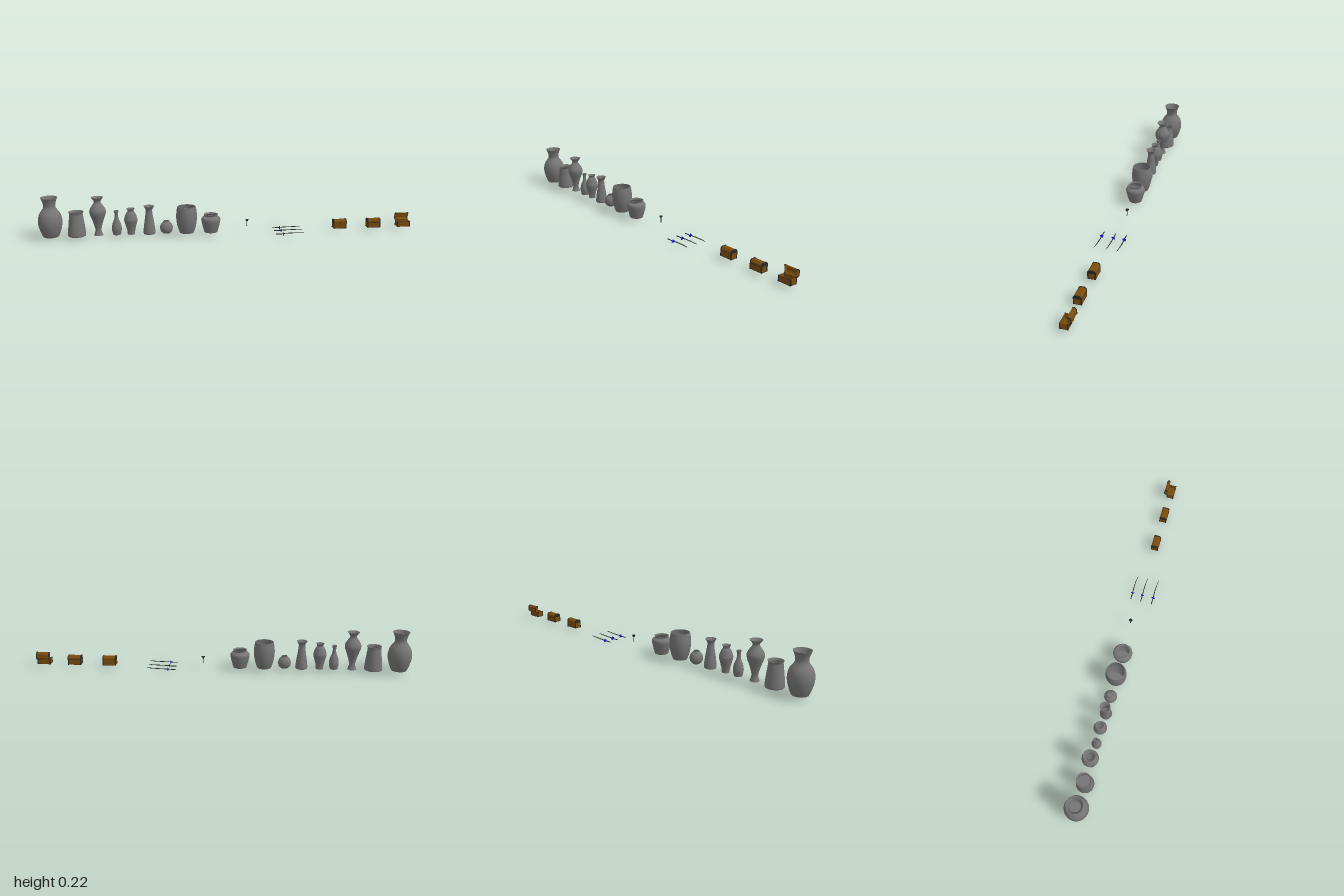
import * as THREE from 'three';

const mat = (color, side = THREE.FrontSide) => new THREE.MeshStandardMaterial({ color, side });
const clay = mat(0x757575, THREE.DoubleSide);
const wood = mat(0x7a4c0c);
const iron = mat(0x2a2a2a, THREE.DoubleSide);
const blue = mat(0x1010ff);

function add(parent, name, geometry, material, x = 0, y = 0, z = 0) {
  const mesh = new THREE.Mesh(geometry, material);
  mesh.name = name;
  mesh.position.set(x, y, z);
  parent.add(mesh);
  return mesh;
}
const box = (parent, name, m, w, h, d, x, y, z) =>
  add(parent, name, new THREE.BoxGeometry(w, h, d), m, x, y, z);

// Hollow pot: smooth outer profile [radius, height], rim, inner wall, flat foot
function createVase(name, x, profile) {
  const g = new THREE.Group();
  g.name = name;
  g.position.set(x, 0, -0.0065);
  const outer = new THREE.SplineCurve(profile.map(([r, y]) => new THREE.Vector2(r, y))).getPoints(28);
  const wall = 0.003;
  const inner = outer.map(p => new THREE.Vector2(Math.max(p.x - wall, 0.002), Math.max(p.y, 0.018))).reverse();
  inner.push(new THREE.Vector2(0, 0.018));
  const rim = [outer[outer.length - 1], inner[0]];
  add(g, 'vaseOuterWall', new THREE.LatheGeometry(outer, 32), clay);
  add(g, 'vaseRim', new THREE.LatheGeometry(rim, 32), clay);
  add(g, 'vaseInnerWall', new THREE.LatheGeometry(inner, 32), clay);
  const foot = add(g, 'vaseFoot', new THREE.CircleGeometry(profile[0][0], 32), clay, 0, profile[0][1], 0);
  foot.rotation.x = Math.PI / 2;
  return g;
}

const vases = [
  ['largeVase', -0.937, [[0.04, 0.014], [0.053, 0.045], [0.0625, 0.09], [0.056, 0.132], [0.034, 0.165], [0.031, 0.183], [0.036, 0.205], [0.044, 0.223]]],
  ['taperedJar', -0.803, [[0.045, 0.014], [0.047, 0.024], [0.042, 0.075], [0.035, 0.128], [0.036, 0.136], [0.039, 0.143]]],
  ['footedUrn', -0.691, [[0.024, 0.014], [0.021, 0.022], [0.016, 0.045], [0.026, 0.085], [0.041, 0.128], [0.042, 0.15], [0.03, 0.172], [0.018, 0.19], [0.02, 0.203], [0.032, 0.218]]],
  ['slimBottle', -0.595, [[0.02, 0.014], [0.026, 0.045], [0.021, 0.075], [0.011, 0.102], [0.009, 0.125], [0.013, 0.143]]],
  ['smallUrn', -0.52, [[0.019, 0.014], [0.022, 0.04], [0.034, 0.085], [0.034, 0.1], [0.025, 0.126], [0.016, 0.14], [0.022, 0.153]]],
  ['fluteVase', -0.424, [[0.03, 0.014], [0.032, 0.024], [0.028, 0.06], [0.021, 0.105], [0.017, 0.138], [0.021, 0.152], [0.028, 0.164]]],
  ['roundPot', -0.334, [[0.018, 0.014], [0.03, 0.026], [0.034, 0.045], [0.029, 0.063], [0.018, 0.075], [0.016, 0.081]]],
  ['barrelJar', -0.226, [[0.037, 0.014], [0.049, 0.05], [0.055, 0.09], [0.054, 0.125], [0.049, 0.156]]],
  ['widePot', -0.097, [[0.035, 0.014], [0.044, 0.045], [0.051, 0.078], [0.048, 0.092], [0.037, 0.1], [0.035, 0.104], [0.038, 0.111]]],
];

function createGoblet() {
  const pts = [[0, 0.037], [0.003, 0.037], [0.0018, 0.039], [0.0016, 0.06],
    [0.004, 0.063], [0.0095, 0.072], [0.0085, 0.072], [0.005, 0.066], [0, 0.064]];
  const g = new THREE.Group();
  g.name = 'goblet';
  add(g, 'gobletBody', new THREE.LatheGeometry(pts.map(p => new THREE.Vector2(...p)), 16), iron, 0.099, 0, -0.017);
  return g;
}

// Curved sword lying along x, with a lobed guard
function createSword(z) {
  const g = new THREE.Group();
  g.name = 'sword';
  g.position.set(0.285, 0.0095, z);

  const blade = new THREE.Shape();
  blade.moveTo(0, 0.002);
  blade.quadraticCurveTo(0.065, 0.006, 0.112, -0.005);
  blade.quadraticCurveTo(0.065, 0.001, 0, -0.002);
  const bladeGeo = new THREE.ExtrudeGeometry(blade, { depth: 0.003, bevelEnabled: false, curveSegments: 10 });
  bladeGeo.rotateX(-Math.PI / 2);
  add(g, 'blade', bladeGeo, iron, 0, 0, 0).rotation.z = 0.03;

  const handle = new THREE.CylinderGeometry(0.0025, 0.0025, 0.04, 8);
  handle.rotateZ(Math.PI / 2);
  add(g, 'handle', handle, iron, -0.02, 0, 0);

  const star = new THREE.Shape();
  for (let i = 0; i < 10; i++) {
    const r = i % 2 ? 0.005 : 0.0095;
    const c = Math.PI / 2 + (i * Math.PI) / 5;
    for (const da of i % 2 ? [0] : [-0.25, 0.25]) {
      const x = r * Math.cos(c + da), y = r * Math.sin(c + da);
      if (i === 0 && da < 0) star.moveTo(x, y);
      else star.lineTo(x, y);
    }
  }
  const guard = new THREE.ExtrudeGeometry(star, { depth: 0.003, bevelEnabled: false });
  guard.rotateY(Math.PI / 2);
  add(g, 'guard', guard, blue, -0.0015, 0, 0);
  return g;
}

// Chest dimensions
const W = 0.069, D = 0.038, BODY = 0.03, LID = 0.017, T = 0.003;

// Lid section with chamfered top, hinge edge at the origin, extending to +z
function lidSection(grow, hollow) {
  const o = grow, c = 0.008;
  const s = new THREE.Shape();
  s.moveTo(-o, 0);
  s.lineTo(-o, LID - c);
  s.lineTo(c - o, LID + o);
  s.lineTo(D - c + o, LID + o);
  s.lineTo(D + o, LID - c);
  s.lineTo(D + o, 0);
  if (hollow) {
    s.lineTo(D - T, 0);
    s.lineTo(D - T, LID - c - 0.001);
    s.lineTo(D - c - 0.001, LID - T);
    s.lineTo(c + 0.001, LID - T);
    s.lineTo(T, LID - c - 0.001);
    s.lineTo(T, 0);
  }
  return s;
}

function lidPart(parent, name, m, shape, width, x) {
  const geo = new THREE.ExtrudeGeometry(shape, { depth: width, bevelEnabled: false });
  geo.translate(0, 0, -width / 2);
  geo.rotateY(-Math.PI / 2); // section x becomes z
  return add(parent, name, geo, m, x, 0, 0);
}

function createChest(x, openAngle, banded) {
  const g = new THREE.Group();
  g.name = openAngle ? 'openChest' : 'chest';
  g.position.set(x, 0.014, -0.0075);

  // Body panels
  box(g, 'chestFloor', wood, W, T, D, 0, T / 2 + 0.001, 0);
  for (const s of [-1, 1]) {
    box(g, 'chestLongWall', wood, W, BODY, T, 0, BODY / 2, s * (D - T) / 2);
    box(g, 'chestEndWall', wood, T, BODY, D - 2 * T, s * (W - T) / 2, BODY / 2, 0);
    // Iron corners and edging
    for (const k of [-1, 1]) {
      box(g, 'cornerPost', iron, 0.005, BODY + 0.001, 0.005, s * (W / 2 - 0.001), BODY / 2, k * (D / 2 - 0.001));
    }
    box(g, 'bottomEdge', iron, W, 0.002, 0.003, 0, 0.001, s * (D / 2 - 0.001));
    box(g, 'bottomEndEdge', iron, 0.003, 0.002, D, s * (W / 2 - 0.001), 0.001, 0);
    if (banded) box(g, 'topEdge', iron, W, 0.003, 0.003, 0, BODY - 0.0015, s * (D / 2 - 0.001));
  }

  // Hinged lid
  const lid = new THREE.Group();
  lid.name = 'lid';
  lid.position.set(0, BODY, -D / 2);
  lid.rotation.x = -openAngle;
  lidPart(lid, 'lidShell', wood, lidSection(0, true), W - 0.004, 0);
  for (const s of [-1, 1]) {
    lidPart(lid, 'lidEnd', openAngle ? wood : iron, lidSection(0, false), 0.003, s * (W / 2 - 0.0015));
    lidPart(lid, 'lidBand', iron, lidSection(0.0015, true), 0.005, s * (W / 2 - 0.001));
  }
  if (!openAngle) box(lid, 'latch', iron, 0.006, 0.006, 0.002, 0, 0.001, D);
  g.add(lid);
  return g;
}

export function createModel() {
  const model = new THREE.Group();
  model.name = 'propCollection';
  for (const v of vases) model.add(createVase(...v));
  model.add(createGoblet());
  for (const z of [0.062, 0, -0.057]) model.add(createSword(z));
  model.add(createChest(0.607, 0, false));
  model.add(createChest(0.796, 0, true));
  model.add(createChest(0.9635, 1.5, true));
  return model;
}
